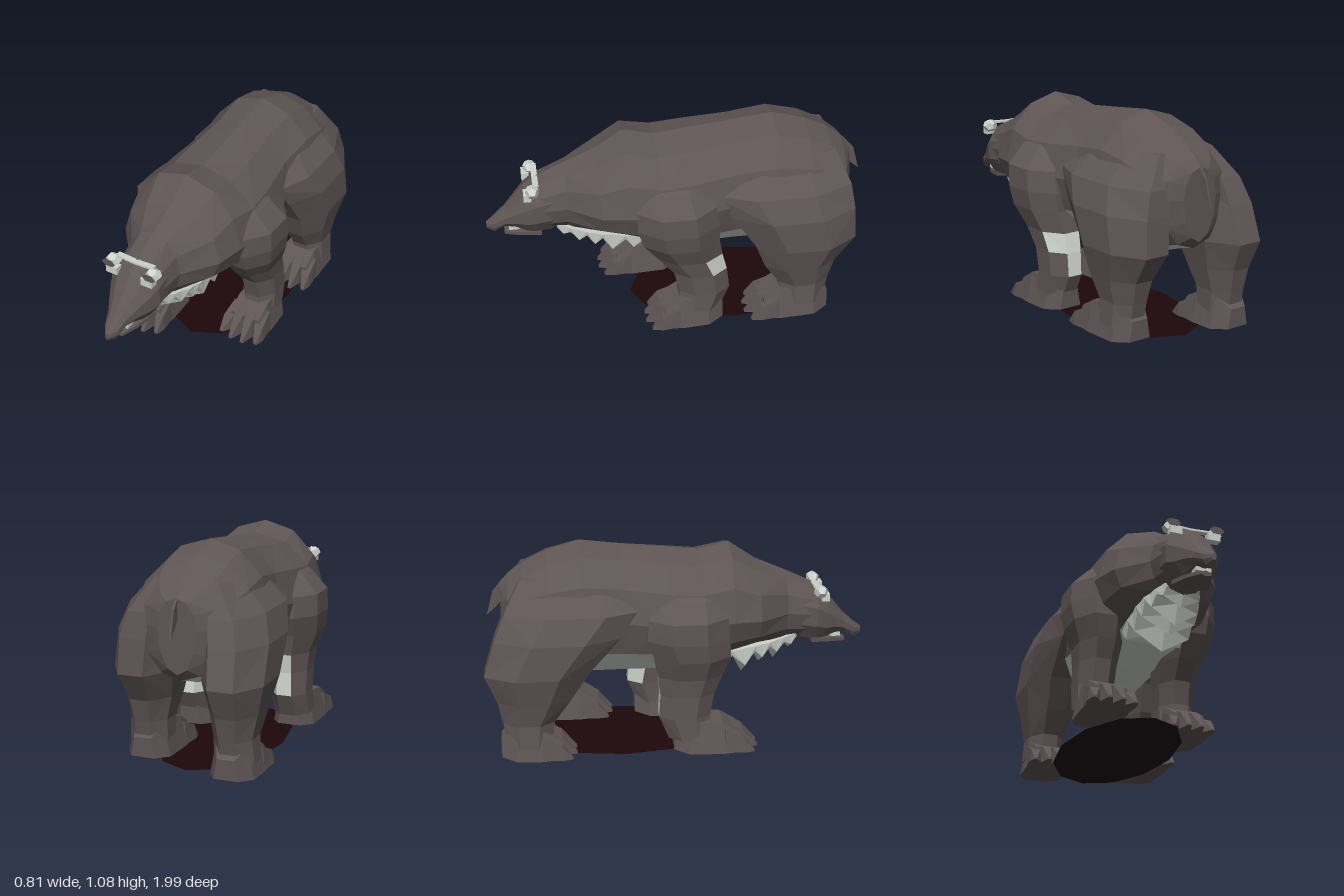
import * as THREE from 'three';

const flat = (name, color, extra = {}) => {
  const m = new THREE.MeshStandardMaterial({ color, flatShading: true, ...extra });
  m.name = name;
  return m;
};

export function createModel() {
  const fur = flat('dark fur', 0x5f5555);
  const pale = flat('pale fur', 0xcdd3cd);
  const ground = flat('dark red base', 0x1d080a, { side: THREE.DoubleSide });
  const model = new THREE.Group();

  const add = (name, geometry, material, parent = model) => {
    const mesh = new THREE.Mesh(geometry, material);
    mesh.name = name;
    parent.add(mesh);
    return mesh;
  };

  // Skin a row of rings; isPale(ring, segment) picks the second material
  function loft(rings, isPale = () => false) {
    const lists = [[], []];
    const tri = (k, ...pts) => pts.forEach(p => lists[k].push(p.x, p.y, p.z));
    const n = rings[0].length;
    for (let i = 0; i < rings.length - 1; i++) {
      for (let j = 0; j < n; j++) {
        const k = isPale(i, j) ? 1 : 0, j2 = (j + 1) % n;
        const a = rings[i][j], b = rings[i][j2], c = rings[i + 1][j2], d = rings[i + 1][j];
        if ((i + j) % 2) { tri(k, a, b, c); tri(k, a, c, d); }
        else { tri(k, a, b, d); tri(k, b, c, d); }
      }
    }
    const first = rings[0], last = rings[rings.length - 1];
    for (let j = 1; j < n - 1; j++) {
      tri(0, first[0], first[j + 1], first[j]);
      tri(0, last[0], last[j], last[j + 1]);
    }
    const g = new THREE.BufferGeometry();
    g.setAttribute('position', new THREE.Float32BufferAttribute([...lists[0], ...lists[1]], 3));
    g.addGroup(0, lists[0].length / 3, 0);
    g.addGroup(lists[0].length / 3, lists[1].length / 3, 1);
    g.computeVertexNormals();
    return g;
  }

  // Upright ring facing +z: z, half width, top, bottom, height of widest point
  const slice = n => ([z, w, top, bottom, mid = (top + bottom) / 2]) =>
    Array.from({ length: n }, (_, j) => {
      const a = Math.PI / 2 + j * 2 * Math.PI / n, s = Math.sin(a);
      return new THREE.Vector3(w * Math.cos(a), mid + s * (s > 0 ? top - mid : mid - bottom), z);
    });

  // Four-cornered upright ring, wider at the bottom
  const block = (cx, [z, w, top, bottom]) => [[1, bottom], [0.72, top], [-0.72, top], [-1, bottom]]
    .map(([x, y]) => new THREE.Vector3(cx + x * w, y, z));

  // Level ring facing +y
  const level = (y, x0, x1, z0, z1) => Array.from({ length: 8 }, (_, j) => {
    const a = (j + 0.5) * Math.PI / 4, k = 1.06;
    return new THREE.Vector3((x0 + x1) / 2 + k * (x1 - x0) / 2 * Math.cos(a), y,
      (z0 + z1) / 2 - k * (z1 - z0) / 2 * Math.sin(a));
  });

  // Torso and neck, pale along the underside and up the flanks of the belly
  const torso = [
    [-0.9, 0.1, 0.87, 0.5, 0.72], [-0.86, 0.2, 0.91, 0.46, 0.72], [-0.78, 0.28, 0.97, 0.44, 0.72],
    [-0.66, 0.31, 1.03, 0.40, 0.74], [-0.49, 0.31, 1.08, 0.37, 0.74], [-0.28, 0.295, 1.055, 0.37, 0.72],
    [-0.05, 0.33, 1.03, 0.38, 0.7], [0.12, 0.34, 1.01, 0.42, 0.7], [0.28, 0.315, 1.05, 0.47, 0.71],
    [0.42, 0.28, 0.955, 0.51, 0.7], [0.58, 0.15, 0.885, 0.51, 0.69], [0.74, 0.13, 0.81, 0.5, 0.67],
  ];
  const belly = (i, j) => i > 0 && i < 10 && (j === 5 || j === 6) || (i === 4 || i === 5) && (j === 4 || j === 7);
  add('torso', loft(torso.map(slice(12)), belly), [fur, pale]);

  // Head and snout
  const head = new THREE.Group();
  head.name = 'head';
  model.add(head);
  const skull = [
    [0.66, 0.138, 0.84, 0.5, 0.67], [0.74, 0.142, 0.815, 0.49, 0.66], [0.795, 0.118, 0.77, 0.5, 0.63],
    [0.85, 0.088, 0.7, 0.525, 0.61], [0.90, 0.06, 0.64, 0.53, 0.585], [0.96, 0.04, 0.585, 0.495, 0.55],
    [1.0, 0.012, 0.555, 0.515, 0.535],
  ];
  add('skull', loft(skull.map(slice(10))), [fur, pale], head);
  const jaw = [[0.72, 0.11, 0.54, 0.495], [0.83, 0.075, 0.525, 0.485], [0.91, 0.03, 0.505, 0.475]];
  add('lowerJaw', loft(jaw.map(slice(6))), [fur, pale], head);
  const teeth = add('teeth', new THREE.BoxGeometry(0.08, 0.02, 0.06), pale, head);
  teeth.position.set(0, 0.525, 0.855);

  // Pale brow band and ears with dark hollows
  for (const s of [-1, 1]) {
    const band = add('browBand', new THREE.BoxGeometry(0.11, 0.011, 0.03), pale, head);
    band.position.set(s * 0.05, 0.815, 0.735);
    band.rotation.z = s * 0.05;
    const ear = add('ear', new THREE.DodecahedronGeometry(0.04), pale, head);
    ear.scale.set(1.05, 0.9, 0.9);
    ear.position.set(s * 0.115, 0.795, 0.755);
    const earTip = add('earTip', new THREE.BoxGeometry(0.064, 0.04, 0.04), pale, head);
    earTip.position.set(s * 0.1, 0.765, 0.78);
    const hollow = add('earHollow', new THREE.CircleGeometry(0.04, 6), fur, head);
    hollow.scale.y = 0.55;
    hollow.position.set(s * 0.115, 0.803, 0.801);
  }

  // Ragged throat and chest fur: a keel with a zigzag lower edge (z, half width, side height, tip height)
  const keel = [[0.19, 0.15, 0.45, 0.46], [0.25, 0.155, 0.41, 0.4], [0.29, 0.16, 0.47, 0.45], [0.36, 0.155, 0.41, 0.32],
    [0.41, 0.16, 0.49, 0.45], [0.45, 0.15, 0.45, 0.375], [0.49, 0.15, 0.51, 0.465], [0.53, 0.13, 0.47, 0.39],
    [0.57, 0.12, 0.52, 0.49], [0.61, 0.1, 0.5, 0.45], [0.64, 0.09, 0.54, 0.51]];
  const keelRings = keel.map(([z, w, side, tip]) => {
    const top = 0.48 + (z - 0.19) * 0.18;
    return [[w, top], [-w, top], [-w * 0.95, side], [0, tip], [w * 0.95, side]]
      .map(([x, y]) => new THREE.Vector3(x, y, z));
  });
  add('chestFur', loft(keelRings), pale);

  // Tail blade
  const tailShape = new THREE.Shape([[-0.8, 0.93], [-0.88, 0.89], [-0.94, 0.82], [-0.975, 0.69],
    [-0.92, 0.74], [-0.86, 0.82]].map(p => new THREE.Vector2(...p)));
  const tailGeo = new THREE.ExtrudeGeometry(tailShape, { depth: 0.01, bevelEnabled: false });
  tailGeo.translate(0, 0, -0.005).rotateY(-Math.PI / 2);
  add('tail', tailGeo, fur);

  // Paw with a narrow heel and four pointed toes
  function paw(name, cx, heel, toe) {
    const group = new THREE.Group();
    group.name = name;
    model.add(group);
    const base = toe - 0.15;
    const sole = [[heel, 0.062, 0.12, 0.02], [heel + 0.08, 0.112, 0.18, 0.01],
      [base - 0.05, 0.12, 0.17, 0.01], [base + 0.04, 0.116, 0.115, 0.015]];
    add('sole', loft(sole.map(r => block(cx, r))), [fur, pale], group);
    for (const k of [-1.5, -0.5, 0.5, 1.5]) {
      const reach = toe - Math.abs(k) * 0.025, drop = Math.abs(k) * 0.025;
      const rings = [[base - 0.04, 0.036, 0.17 - drop, 0.015], [base + 0.06, 0.034, 0.125 - drop, 0.015],
        [reach, 0.01, 0.025, 0.015]];
      add('toe', loft(rings.map((r, i) => block(cx + k * (0.054 + i * 0.008), r))), [fur, pale], group);
    }
  }

  // Legs: height, inner x, outer x, back z, front z; the stride fades out towards the hip
  const foreRings = [[0.08, 0.15, 0.35, -0.19, 0.04], [0.2, 0.15, 0.345, -0.24, 0.03], [0.32, 0.14, 0.345, -0.225, 0.06],
    [0.42, 0.125, 0.355, -0.2, 0.14], [0.53, 0.11, 0.395, -0.18, 0.22], [0.63, 0.1, 0.41, -0.18, 0.25],
    [0.74, 0.1, 0.405, -0.16, 0.25], [0.83, 0.1, 0.32, -0.12, 0.23], [0.92, 0.06, 0.2, -0.06, 0.2]];
  const hindRings = [[0.08, 0.15, 0.36, -0.75, -0.52], [0.2, 0.15, 0.35, -0.77, -0.5], [0.32, 0.125, 0.375, -0.8, -0.42],
    [0.47, 0.09, 0.41, -0.9, -0.36], [0.65, 0.07, 0.405, -0.89, -0.24], [0.78, 0.06, 0.36, -0.87, -0.14],
    [0.93, 0.04, 0.22, -0.8, -0.25]];
  function leg(name, side, rings, stride, fade, isPale) {
    const placed = rings.map(([y, xi, xo, zb, zf]) => {
      const shift = stride * THREE.MathUtils.clamp((fade - y) / (fade - 0.3), 0, 1);
      return level(y, ...(side > 0 ? [xi, xo] : [-xo, -xi]), zb + shift, zf + shift);
    });
    add(name, loft(placed, isPale), [fur, pale]);
  }
  // Pale patch behind each forearm, flaring outward on the left one
  leg('leftForeleg', 1, foreRings, 0, 0.65, (i, j) => i === 2 && j < 3 || i === 1 && (j === 1 || j === 2));
  leg('rightForeleg', -1, foreRings, 0.13, 0.65, (i, j) => (i === 1 || i === 2) && j < 2);
  leg('leftHindLeg', 1, hindRings, 0, 0.85);
  leg('rightHindLeg', -1, hindRings, -0.14, 0.85);
  paw('leftForepaw', 0.25, -0.2, 0.22);
  paw('rightForepaw', -0.25, -0.03, 0.42);
  paw('leftHindPaw', 0.25, -0.77, -0.31);
  paw('rightHindPaw', -0.25, -0.92, -0.52);

  // Flat oval base between the paws
  const base = add('groundPatch', new THREE.CircleGeometry(1, 12).rotateX(-Math.PI / 2), ground);
  base.scale.set(0.305, 1, 0.54);
  base.position.set(0, 0.003, -0.28);

  return model;
}
